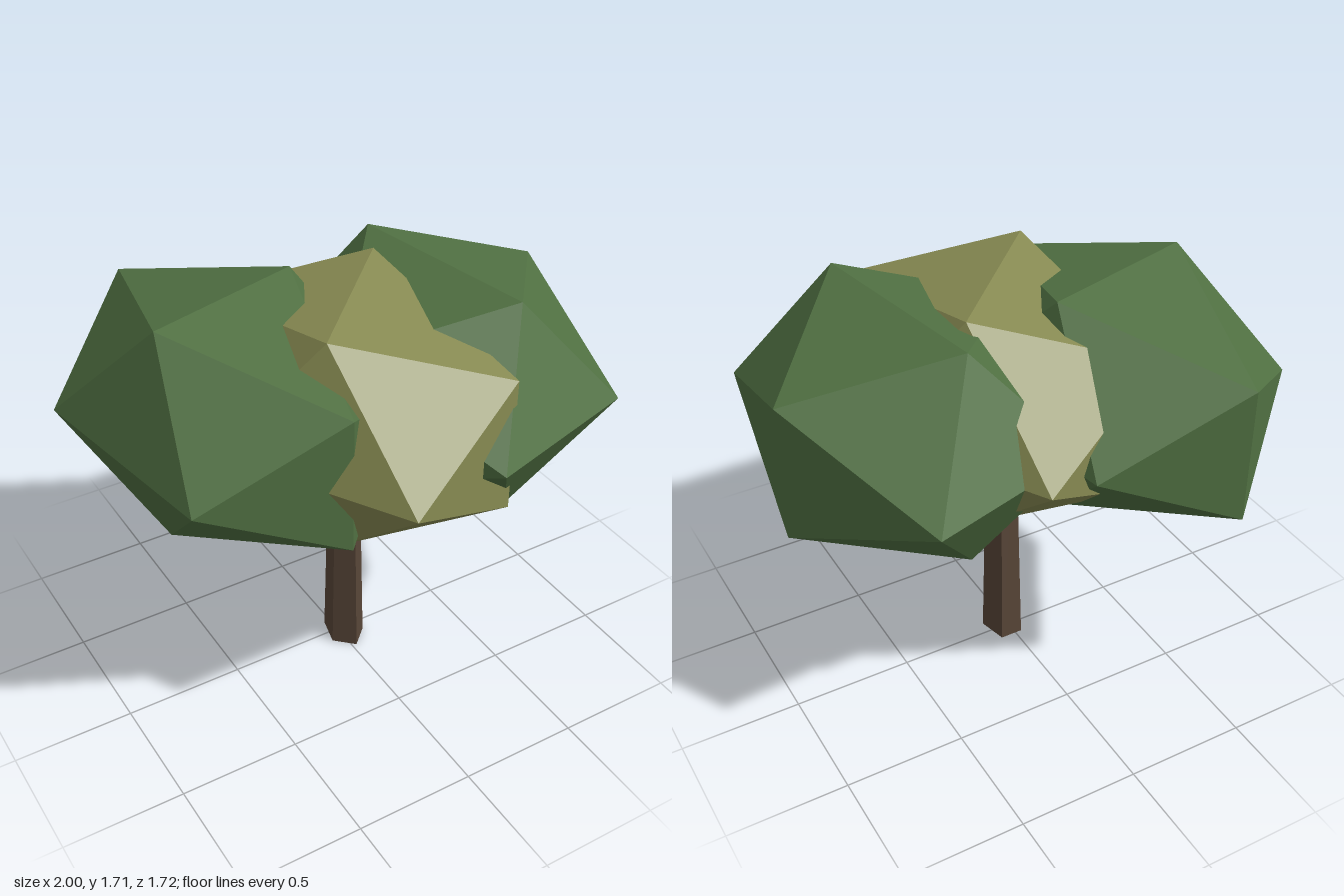
import * as THREE from 'three';

const flat = (name, color) => {
  const m = new THREE.MeshStandardMaterial({ color, flatShading: true });
  m.name = name;
  return m;
};

// Stretched icosahedron: u and w are the [x, z] directions of its local x and z axes
function foliage(name, material, [cx, cz], u, w) {
  const k = Math.hypot(1, (1 + Math.sqrt(5)) / 2); // undo the unit-radius normalisation
  const matrix = new THREE.Matrix4().makeBasis(
    new THREE.Vector3(u[0], 0, u[1]),
    new THREE.Vector3(0, 0.2826, 0),
    new THREE.Vector3(w[0], 0, w[1])
  ).setPosition(cx, 1.257, cz);
  const geometry = new THREE.IcosahedronGeometry(k, 0).applyMatrix4(matrix);
  const mesh = new THREE.Mesh(geometry, material);
  mesh.name = name;
  return mesh;
}

export function createModel() {
  const green = flat('leaf green', 0x507042);
  const olive = flat('olive leaf', 0x878a52);
  const bark = flat('bark brown', 0x584638);

  const tree = new THREE.Group();
  tree.name = 'tree';

  // Five-sided tapering trunk, running up into the foliage
  const trunk = new THREE.Mesh(new THREE.CylinderGeometry(0.075, 0.108, 1.1, 5), bark);
  trunk.name = 'trunk';
  trunk.scale.x = 0.755;
  trunk.position.set(0.02, 0.55, 0.022);
  tree.add(trunk);

  // Three overlapping clumps of leaves
  tree.add(
    foliage('rightFoliage', green, [-0.4, -0.14], [0.326, -0.09], [0.0735, 0.445]),
    foliage('middleFoliage', olive, [0.018, 0.07], [0.263, -0.265], [0.211, 0.365]),
    foliage('leftFoliage', green, [0.445, 0.035], [0.071, 0.417], [-0.342, 0.099])
  );
  return tree;
}
